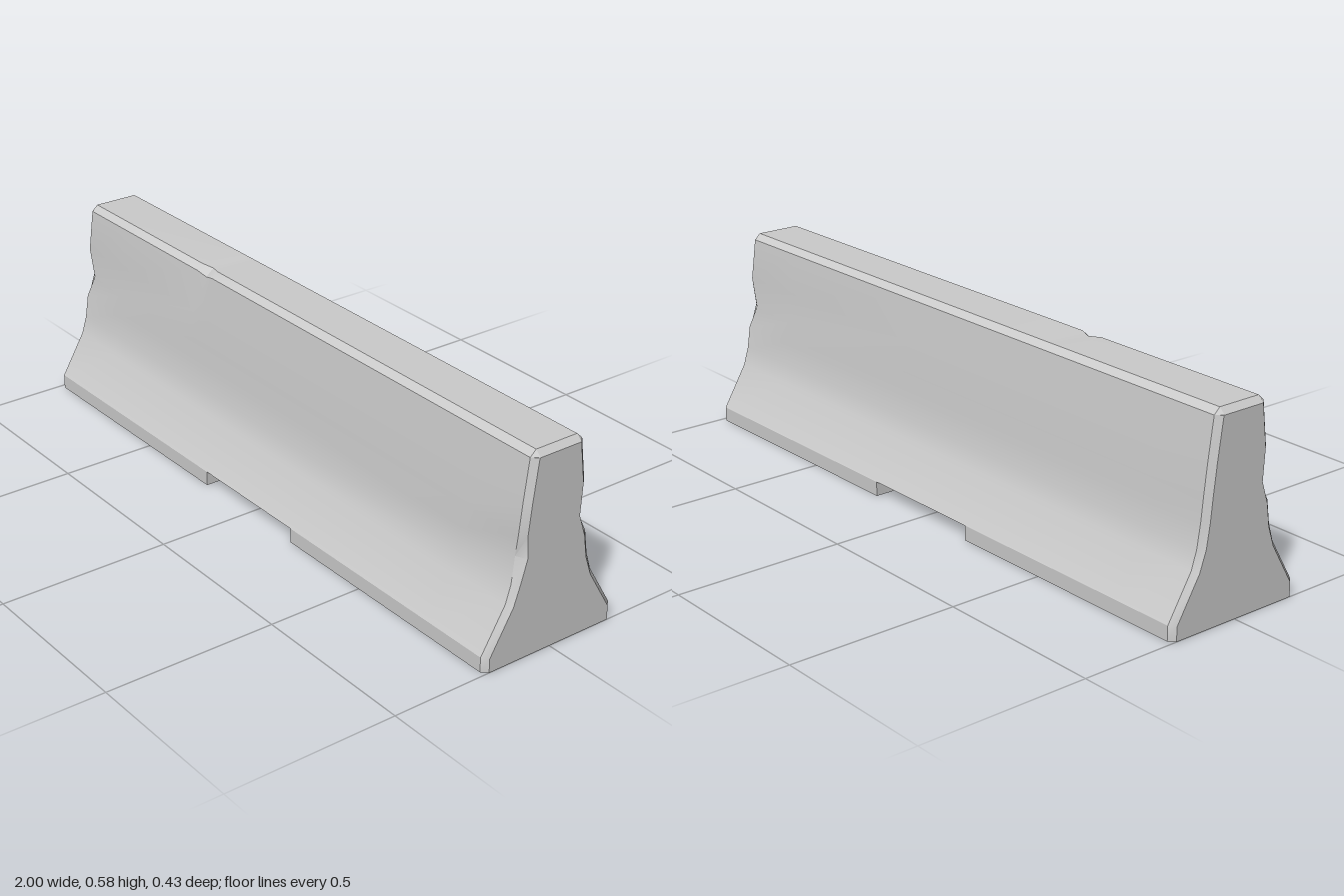
import * as THREE from 'three';
import { toCreasedNormals } from 'three/addons/utils/BufferGeometryUtils.js';

// Half profiles, bottom to top: [depth from the centre plane, height]
const BODY = [[0.217, 0], [0.217, 0.043], [0.143, 0.168], [0.127, 0.22], [0.117, 0.287],
  [0.111, 0.35], [0.101, 0.44], [0.085, 0.56], [0.067, 0.577]];
const END = [[0.201, 0], [0.201, 0.041], [0.13, 0.162], [0.11, 0.22], [0.1, 0.287],
  [0.094, 0.35], [0.084, 0.44], [0.068, 0.56], [0.066, 0.56]];
const N = BODY.length;
const NOTCH_HEIGHT = 0.043;

// Closed ring of points at x: up the front, then down the back
function section(x, half = BODY) {
  const front = half.map(([z, y]) => new THREE.Vector3(x, y, z));
  const back = half.map(([z, y]) => new THREE.Vector3(x, y, -z)).reverse();
  return [...front, ...back];
}

// Section with its foot raised to form the passage underneath
function raised(x) {
  return section(x, BODY.map(([z, y]) => [z, Math.max(y, NOTCH_HEIGHT)]));
}

// Pushes one corner point inwards; row counts from the bottom, side is 1 front, -1 back
function chip(ring, row, side, depth, dx = 0, dy = 0) {
  const p = ring[side > 0 ? row : 2 * N - 1 - row];
  p.x += dx;
  p.y += dy;
  p.z -= side * depth;
}

function barrierGeometry() {
  const leftCap = section(1, END), leftBevel = section(0.984);
  const rightCap = section(-1, END), rightBevel = section(-0.984);
  const edgeChip = section(-0.38);

  // Broken corners at the ends
  chip(leftBevel, 4, 1, 0.012, -0.014);
  chip(leftCap, 4, 1, 0.01);
  chip(leftBevel, 5, -1, 0.016, -0.012);
  chip(leftCap, 5, -1, 0.015);
  chip(rightBevel, 5, 1, 0.016, 0.012);
  chip(rightCap, 5, 1, 0.015);

  // Nick in the front top edge
  chip(edgeChip, 7, 1, 0.004, 0, -0.008);
  chip(edgeChip, 8, 1, 0.011, 0, -0.004);

  const rings = [rightCap, rightBevel, section(-0.8), section(-0.42), edgeChip,
    section(-0.345), section(-0.2), raised(-0.2), raised(0.2), section(0.2),
    section(0.78), leftBevel, leftCap];

  const positions = [];
  const triangle = new THREE.Triangle();
  const face = (a, b, c) => {
    if (triangle.set(a, b, c).getArea() < 1e-8) return;
    for (const p of [a, b, c]) positions.push(p.x, p.y, p.z);
  };
  const quad = (a, b, c, d) => { face(a, b, c); face(a, c, d); };

  // Skin between neighbouring sections
  for (let s = 0; s < rings.length - 1; s++) {
    const r = rings[s], q = rings[s + 1];
    for (let i = 0; i < 2 * N; i++) {
      const j = (i + 1) % (2 * N);
      quad(r[i], q[i], q[j], r[j]);
    }
  }

  // End faces, filled in strips from front to back
  for (let i = 0; i < N - 1; i++) {
    const k = 2 * N - 1 - i;
    quad(leftCap[i], leftCap[k], leftCap[k - 1], leftCap[i + 1]);
    quad(rightCap[k], rightCap[i], rightCap[i + 1], rightCap[k - 1]);
  }

  const geometry = new THREE.BufferGeometry();
  geometry.setAttribute('position', new THREE.Float32BufferAttribute(positions, 3));
  return toCreasedNormals(geometry, THREE.MathUtils.degToRad(25));
}

export function createModel() {
  const group = new THREE.Group();
  group.name = 'concreteBarrier';
  const body = new THREE.Mesh(barrierGeometry(), new THREE.MeshStandardMaterial({ color: 0xcccccc }));
  body.name = 'barrierBody';
  group.add(body);
  return group;
}
